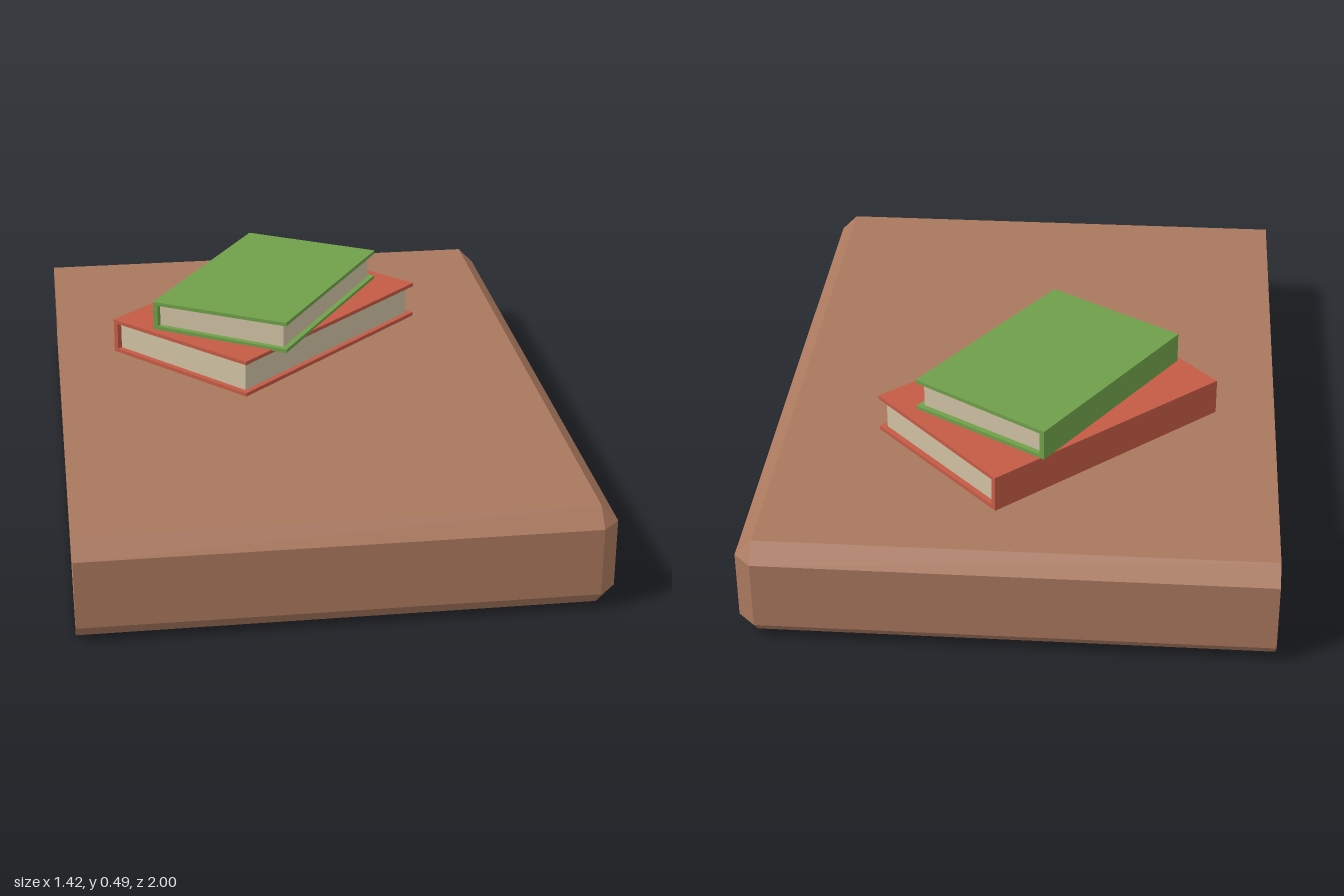
import * as THREE from 'three';

const flat = (color, extra = {}) => new THREE.MeshStandardMaterial({ color, ...extra });

// Chamfered slab, open at its -x end: two octagonal rings plus an inset end cap
function slabGeometry() {
  const X = 0.71, H = 0.285, c = 0.047, Z = 1;
  const ring = [
    [Z - c, 0], [c - Z, 0], [-Z, c], [-Z, H - c],
    [c - Z, H], [Z - c, H], [Z, H - c], [Z, c],
  ];
  const clamp = THREE.MathUtils.clamp;
  const inset = ring.map(([z, y]) => [clamp(z, c - Z, Z - c), clamp(y, c, H - c)]);
  const loops = [[-X, ring], [X - c, ring], [X, inset]]
    .map(([x, pts]) => pts.map(([z, y]) => new THREE.Vector3(x, y, z)));
  const tris = [];
  const quad = (a, b, d, e) => {
    if (!a.equals(b)) tris.push(a, b, d);
    if (!d.equals(e)) tris.push(b, e, d);
  };
  for (let r = 0; r < 2; r++) {
    for (let i = 0; i < 8; i++) {
      const j = (i + 1) % 8;
      quad(loops[r][i], loops[r][j], loops[r + 1][i], loops[r + 1][j]);
    }
  }
  const end = loops[2];
  quad(end[0], end[1], end[5], end[4]);
  const g = new THREE.BufferGeometry().setFromPoints(tris);
  g.computeVertexNormals();
  return g;
}

// Extrude a closed x/y outline along z, centred on z = 0
function prism(points, length) {
  const shape = new THREE.Shape(points.map(([x, y]) => new THREE.Vector2(x, y)));
  return new THREE.ExtrudeGeometry(shape, { depth: length, bevelEnabled: false })
    .translate(0, 0, -length / 2);
}

// Hardback with spine on its -x side, slightly thicker at the fore edge
function makeBook(name, { w, l, spineH, foreH }, coverMat, pageMat) {
  const book = new THREE.Group();
  book.name = name;
  const t = 0.011, s = 0.015, lip = 0.016, a = -w / 2, b = w / 2;
  const topAt = (x) => spineH + (foreH - spineH) * (x - a) / w;

  const cover = new THREE.Mesh(prism([
    [a, 0], [b, 0], [b, t], [a + s, t],
    [a + s, topAt(a + s) - t], [b, foreH - t], [b, foreH], [a, spineH],
  ], l), coverMat);
  cover.name = name + 'Cover';

  const pages = new THREE.Mesh(prism([
    [a + s, t], [b - lip, t], [b - lip, topAt(b - lip) - t], [a + s, topAt(a + s) - t],
  ], l - 2 * lip), pageMat);
  pages.name = name + 'Pages';

  book.add(cover, pages);
  return book;
}

export function createModel() {
  const brown = flat(0xaa785e, { side: THREE.DoubleSide });
  brown.name = 'brown';
  const red = flat(0xc45b45);
  red.name = 'red';
  const green = flat(0x70a04a);
  green.name = 'green';
  const paper = flat(0xcfc0a3);
  paper.name = 'paper';

  const model = new THREE.Group();
  model.name = 'slabWithBooks';

  const slab = new THREE.Mesh(slabGeometry(), brown);
  slab.name = 'slab';

  // Lower, larger book
  const lower = makeBook('lowerBook', { w: 0.527, l: 0.8, spineH: 0.103, foreH: 0.11 }, red, paper);
  lower.position.set(-0.07, 0.286, -0.305);
  lower.rotation.y = -0.818;

  // Upper, smaller book
  const upper = makeBook('upperBook', { w: 0.436, l: 0.652, spineH: 0.087, foreH: 0.095 }, green, paper);
  upper.position.set(-0.07, 0.393, -0.285);
  upper.rotation.y = -0.56;

  model.add(slab, lower, upper);
  return model;
}
